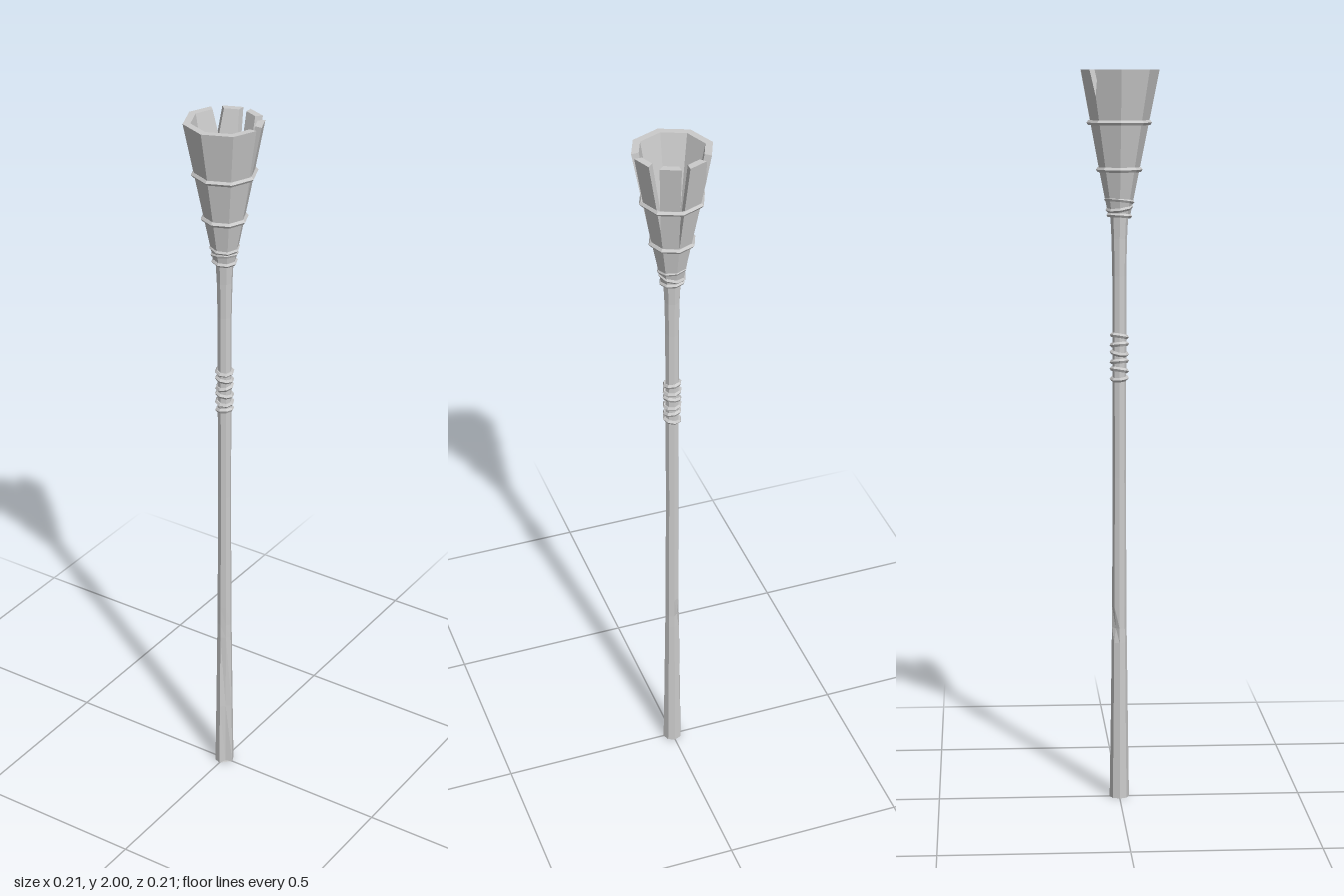
import * as THREE from 'three';

const SIDES = 8;
const material = new THREE.MeshStandardMaterial({ color: 0xcccccc, flatShading: true, side: THREE.DoubleSide });
const corner = (k, r, y) => {
  const a = (k % SIDES) * Math.PI * 2 / SIDES;
  return new THREE.Vector3(Math.cos(a) * r, y, Math.sin(a) * r);
};

// Closed solid through rows of points, listed from bottom to top
function loft(name, rows) {
  const n = rows[0].length, index = [], last = (rows.length - 1) * n;
  for (let i = 0; i < rows.length - 1; i++) {
    for (let j = 0; j < n; j++) {
      const a = i * n + j, b = i * n + (j + 1) % n;
      index.push(a, a + n, b + n, a, b + n, b);
    }
  }
  for (let j = 1; j < n - 1; j++) {
    index.push(0, j, j + 1, last, last + j + 1, last + j);
  }
  const g = new THREE.BufferGeometry().setFromPoints(rows.flat());
  g.setIndex(index);
  const flat = g.toNonIndexed();
  flat.computeVertexNormals();
  const mesh = new THREE.Mesh(flat, material);
  mesh.name = name;
  return mesh;
}

// Faceted band, optionally tilted
function band(name, y, radius, tube, tiltX = 0, tiltZ = 0) {
  const g = new THREE.TorusGeometry(radius, tube, 5, SIDES);
  g.rotateX(Math.PI / 2);
  const mesh = new THREE.Mesh(g, material);
  mesh.name = name;
  mesh.position.y = y;
  mesh.rotation.set(tiltX, 0, tiltZ);
  return mesh;
}

export function createModel() {
  const model = new THREE.Group();

  // Shaft: slightly uneven pole, split at the foot and nicked at the back
  const profile = [[0, 0.027], [0.2, 0.024], [0.44, 0.021], [0.48, 0.02], [0.54, 0.02],
    [0.9, 0.018], [1.2, 0.019], [1.45, 0.019], [1.55, 0.021], [1.63, 0.025]];
  model.add(loft('shaft', profile.map(([y, r]) => {
    const row = [];
    for (let k = 0; k < SIDES; k++) {
      let s = 1;
      if (k === 1) s = 0.45 + 0.55 * Math.min(1, y / 0.5);
      if (k === 5 && y === 0.48) s = 0.72;
      row.push(corner(k, r * s, y));
    }
    return row;
  })));

  // Cup: thick flared panels, with V-shaped splits at some corners
  const cup = new THREE.Group();
  cup.name = 'cup';
  const bottom = 1.61, top = 2;
  const splits = { 0: [0.22, 0.013], 7: [0.2, 0.016], 6: [0.27, 0.012], 5: [0.07, 0.016] };
  const inset = (k, y) => {
    const s = splits[k % SIDES];
    return s ? Math.max(0, (y - top + s[0]) / s[0]) * s[1] : 0;
  };
  const heights = [bottom, 1.73, 1.78, 1.8, 1.86, 1.93, top];
  for (let k = 0; k < SIDES; k++) {
    cup.add(loft('cupPanel', heights.map((y) => {
      const t = (y - bottom) / (top - bottom);
      const ro = 0.029 + 0.079 * t, ri = 0.016 + 0.072 * t;
      const edge = (r) => {
        const a = corner(k, r, y), b = corner(k + 1, r, y);
        const d = b.clone().sub(a).normalize();
        return [a.addScaledVector(d, inset(k, y)), b.addScaledVector(d, -inset(k + 1, y))];
      };
      const outer = edge(ro), inner = edge(ri);
      return [outer[0], outer[1], inner[1], inner[0]];
    })));
  }
  const floor = new THREE.Mesh(new THREE.CylinderGeometry(0.023, 0.021, 0.02, SIDES), material);
  floor.name = 'cupFloor';
  floor.position.y = 1.632;
  cup.add(floor);
  model.add(cup);

  // Hoops around the cup
  model.add(band('upperHoop', 1.86, 0.081, 0.007));
  model.add(band('lowerHoop', 1.735, 0.056, 0.007));

  // Cord wound under the cup
  [[1.612, 0.029, 0.06], [1.632, 0.032, -0.14], [1.652, 0.035, 0.1]].forEach(([y, r, tilt]) => {
    model.add(band('cupBinding', y, r, 0.006, tilt, -tilt));
  });

  // Cord wound around the grip
  for (let i = 0; i < 6; i++) {
    const tilt = i % 2 ? 0.16 : -0.08;
    model.add(band('gripBinding', 1.172 + i * 0.023, 0.02, 0.0065, tilt, i % 3 ? -0.12 : 0.15));
  }

  return model;
}
